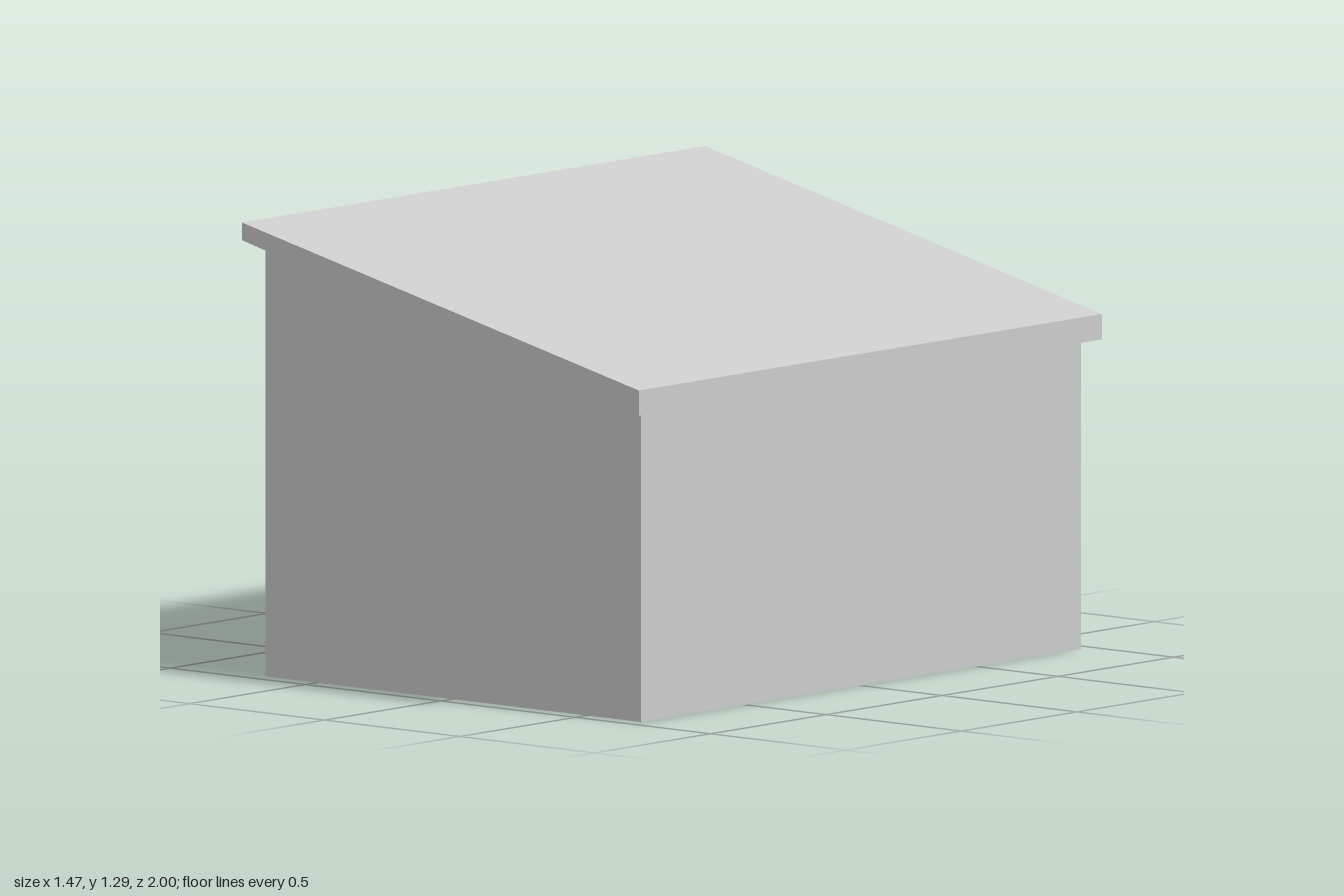
import * as THREE from 'three';

const X0 = -0.69, X1 = 0.70, Z = 0.95;          // outer walls
const IX = 0.65, IZ = 0.9, FLOOR = 0.035;       // inner lining
const OPEN_TOP = 0.93, CEIL_END = 0.89;         // opening top, ceiling at the low side
const underRoof = x => 1.24 - (x + 0.735) * 0.246;

export function createModel() {
  const group = new THREE.Group();
  const solid = new THREE.MeshStandardMaterial({ color: 0xcccccc, flatShading: true });
  const sheet = new THREE.MeshStandardMaterial({ color: 0xcccccc, flatShading: true, side: THREE.DoubleSide });

  const add = (name, geometry, material) => {
    const mesh = new THREE.Mesh(geometry, material);
    mesh.name = name;
    group.add(mesh);
    return mesh;
  };

  // Four-cornered sheet, corners anticlockwise seen from its front
  const panel = (name, a, b, c, d) => {
    const g = new THREE.BufferGeometry();
    g.setAttribute('position', new THREE.Float32BufferAttribute([...a, ...b, ...c, ...d], 3));
    g.setIndex([0, 1, 2, 0, 2, 3]);
    g.computeVertexNormals();
    return add(name, g, sheet);
  };

  // Sloping roof slab, a little thicker at the low side
  const roofShape = new THREE.Shape([
    [-0.735, 1.24], [0.735, 0.878], [0.735, 0.95], [-0.735, 1.29],
  ].map(p => new THREE.Vector2(...p)));
  const roof = new THREE.ExtrudeGeometry(roofShape, { depth: 2, bevelEnabled: false });
  add('roof', roof.translate(0, 0, -1), solid);

  // Outer walls, open underneath
  const hi = underRoof(X0), lo = underRoof(X1);
  panel('frontWall', [X0, 0, Z], [X1, 0, Z], [X1, lo, Z], [X0, hi, Z]);
  panel('backWall', [X1, 0, -Z], [X0, 0, -Z], [X0, hi, -Z], [X1, lo, -Z]);
  panel('lowSideWall', [X1, 0, Z], [X1, 0, -Z], [X1, lo, -Z], [X1, lo, Z]);

  // Tall side wall with the wide opening
  const rect = (C, z, y0, y1) => new C([[-z, y0], [z, y0], [z, y1], [-z, y1]].map(p => new THREE.Vector2(...p)));
  const tall = rect(THREE.Shape, Z, 0, hi);
  tall.holes.push(rect(THREE.Path, IZ, FLOOR, OPEN_TOP));
  add('openSideWall', new THREE.ShapeGeometry(tall).rotateY(-Math.PI / 2).translate(X0, 0, 0), sheet);

  // Inner lining, facing into the room
  panel('floor', [X0, FLOOR, IZ], [IX, FLOOR, IZ], [IX, FLOOR, -IZ], [X0, FLOOR, -IZ]);
  panel('ceiling', [X0, OPEN_TOP, -IZ], [IX, CEIL_END, -IZ], [IX, CEIL_END, IZ], [X0, OPEN_TOP, IZ]);
  panel('innerLowSide', [IX, FLOOR, -IZ], [IX, FLOOR, IZ], [IX, CEIL_END, IZ], [IX, CEIL_END, -IZ]);
  panel('innerFront', [IX, FLOOR, IZ], [X0, FLOOR, IZ], [X0, OPEN_TOP, IZ], [IX, CEIL_END, IZ]);
  panel('innerBack', [X0, FLOOR, -IZ], [IX, FLOOR, -IZ], [IX, CEIL_END, -IZ], [X0, OPEN_TOP, -IZ]);

  // Low counter flush with the opening, leaving a doorway at the back end
  const counterStart = -0.57, counterTop = 0.317, counterDepth = 0.174;
  const counter = new THREE.BoxGeometry(counterDepth, counterTop - FLOOR, IZ - counterStart);
  counter.translate(X0 + counterDepth / 2, (counterTop + FLOOR) / 2, (IZ + counterStart) / 2);
  add('counter', counter, solid);

  return group;
}
